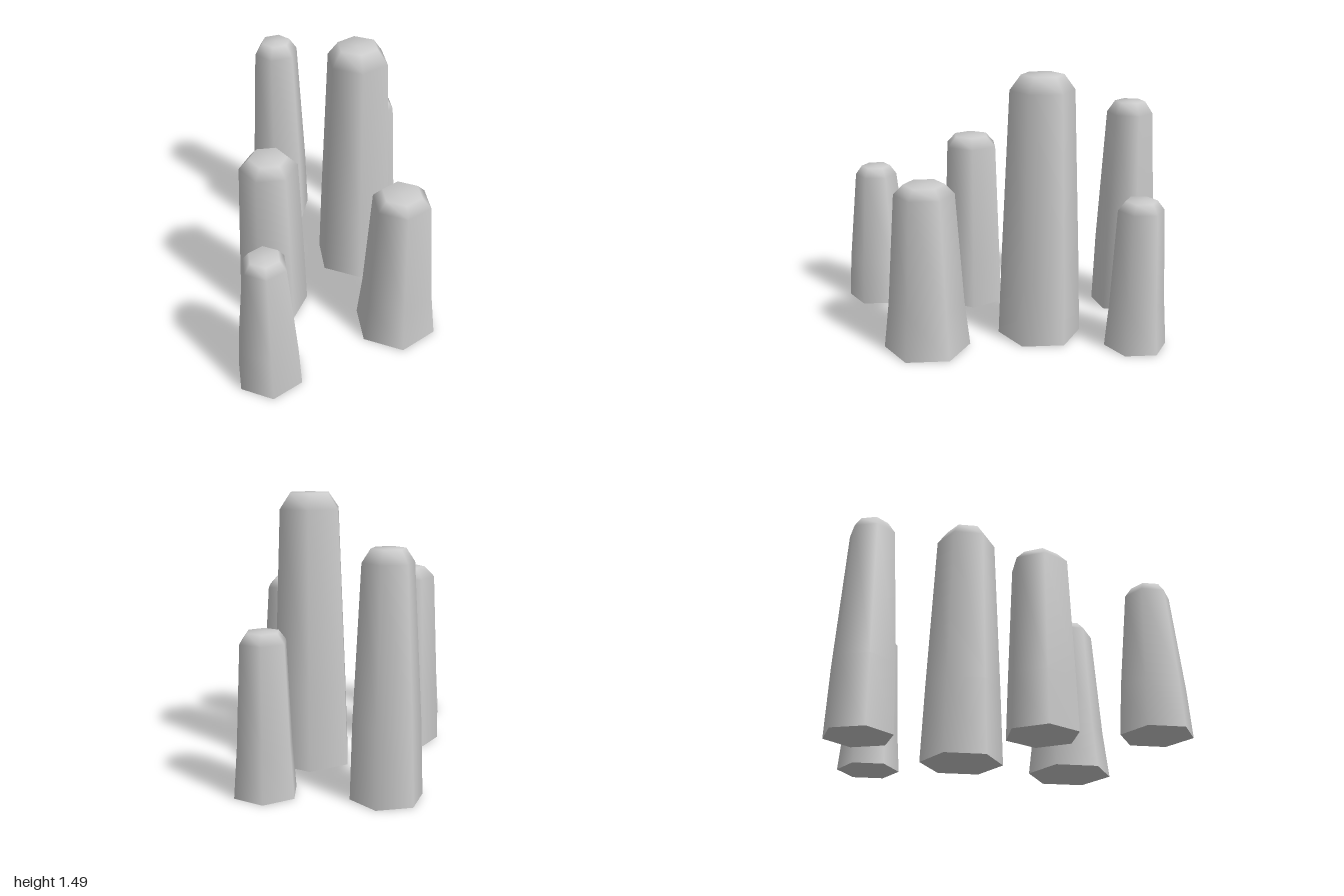
import * as THREE from 'three';

const material = new THREE.MeshStandardMaterial({ color: 0xcccccc });

// x, z, turn in degrees, then radius/height pairs: base, lower flank, shoulder, top rim
const columns = [
  { name: 'tallColumn', x: 0.065, z: -0.295, turn: 30, profile: [[0.235, 0], [0.219, 0.45], [0.178, 1.41], [0.117, 1.493]] },
  { name: 'backRightColumn', x: -0.57, z: -0.587, turn: 12, profile: [[0.19, 0], [0.177, 0.4], [0.133, 1.195], [0.088, 1.263]] },
  { name: 'middleRightColumn', x: -0.228, z: 0.29, turn: 0, profile: [[0.2, 0], [0.19, 0.3], [0.162, 0.985], [0.106, 1.043]] },
  { name: 'leftColumn', x: 0.508, z: 0.194, turn: 30, profile: [[0.239, 0], [0.209, 0.26], [0.164, 0.885], [0.112, 0.938]] },
  { name: 'frontColumn', x: -0.008, z: 0.833, turn: 30, profile: [[0.193, 0], [0.176, 0.26], [0.123, 0.79], [0.086, 0.842]] },
  { name: 'backColumn', x: -0.01, z: -0.848, turn: 30, profile: [[0.175, 0], [0.154, 0.26], [0.127, 0.79], [0.087, 0.842]] },
];

function makeColumn({ name, x, z, turn, profile }) {
  const column = new THREE.Group();
  column.name = name;
  column.position.set(x, 0, z);
  column.rotation.y = THREE.MathUtils.degToRad(turn);

  // Tapered six-sided shaft with bevelled shoulder and closed top, smoothly shaded
  const points = profile.map(([r, y]) => new THREE.Vector2(r, y));
  points.push(new THREE.Vector2(0, profile.at(-1)[1]));
  const shaft = new THREE.Mesh(new THREE.LatheGeometry(points, 6), material);
  shaft.name = 'shaft';

  // Flat underside
  const base = new THREE.Mesh(new THREE.CircleGeometry(profile[0][0], 6, Math.PI / 2), material);
  base.name = 'underside';
  base.rotation.x = Math.PI / 2;

  column.add(shaft, base);
  return column;
}

export function createModel() {
  const model = new THREE.Group();
  model.name = 'hexagonalColumns';
  for (const spec of columns) model.add(makeColumn(spec));
  return model;
}
